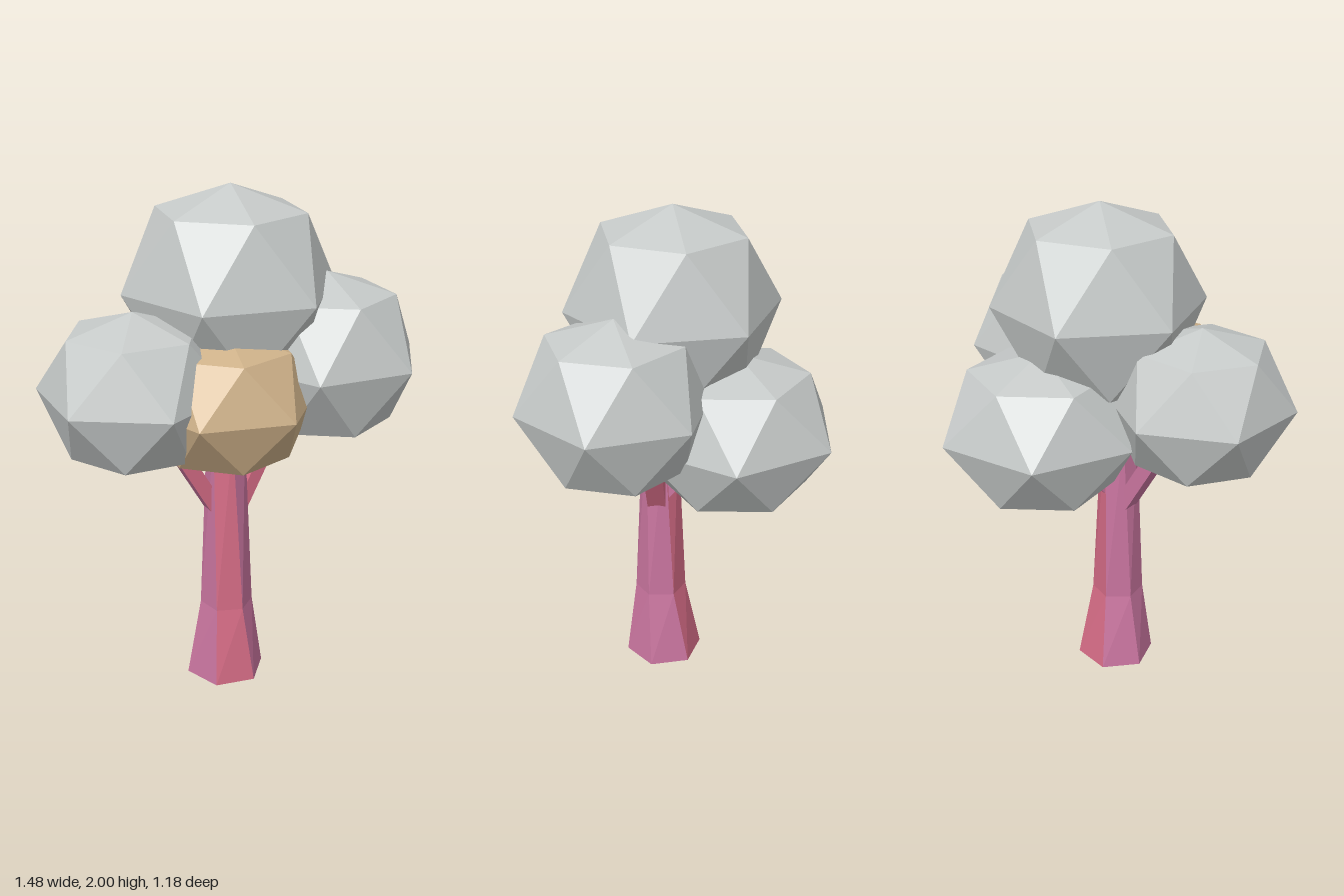
import * as THREE from 'three';

const SIDES = 6;

function material(name, color) {
  const m = new THREE.MeshStandardMaterial({ color, flatShading: true });
  m.name = name;
  return m;
}

// Six-sided loft from bottom to top; ring = [x, y, z, radius, turn in degrees].
// Each side becomes its own geometry group.
function loft(rings) {
  const point = ([x, y, z, r, turn], i) => {
    const a = THREE.MathUtils.degToRad(turn + (i * 360) / SIDES);
    return new THREE.Vector3(x + r * Math.cos(a), y, z + r * Math.sin(a));
  };
  const pts = [];
  const geo = new THREE.BufferGeometry();
  for (let i = 0; i < SIDES; i++) {
    const start = pts.length;
    for (let k = 0; k < rings.length - 1; k++) {
      const [lo, hi] = [rings[k], rings[k + 1]];
      if (lo[3] > 0) pts.push(point(lo, i), point(hi, i), point(lo, i + 1));
      if (hi[3] > 0) pts.push(point(lo, i + 1), point(hi, i), point(hi, i + 1));
    }
    geo.addGroup(start, pts.length - start, i % 3 === 1 ? 1 : 0);
  }
  geo.setFromPoints(pts);
  geo.computeVertexNormals();
  return geo;
}

// Faceted leaf ball: poles, a hexagonal equator and two rings turned half a step
function leafBall(name, [x, y, z], radius, height, turn, mat) {
  const r = radius * 0.69, h = height * 0.75;
  const geo = loft([
    [x, y - height, z, 0, turn - 60],
    [x, y - h, z, r, turn - 30],
    [x, y, z, radius, turn],
    [x, y + h, z, r, turn + 30],
    [x, y + height, z, 0, turn + 60],
  ]);
  geo.clearGroups();
  const mesh = new THREE.Mesh(geo, mat);
  mesh.name = name;
  return mesh;
}

// Square branch running between two points
function branch(name, from, to, width, depth, mats) {
  const a = new THREE.Vector3(...from), b = new THREE.Vector3(...to);
  const mesh = new THREE.Mesh(new THREE.BoxGeometry(depth, width, a.distanceTo(b)), mats);
  mesh.position.copy(a).lerp(b, 0.5);
  mesh.lookAt(b);
  mesh.name = name;
  return mesh;
}

export function createModel() {
  const red = material('rose bark', 0xd56c86);
  const mauve = material('mauve bark', 0xc9759f);
  const grey = material('grey leaves', 0xc6cac9);
  const tan = material('tan leaves', 0xceb189);

  const tree = new THREE.Group();
  tree.name = 'tree';

  // Flared, slightly twisted trunk with rose front and back sides
  const trunk = new THREE.Mesh(loft([
    [-0.03, 0, 0.14, 0, 0],
    [-0.03, 0, 0.14, 0.16, 0],
    [-0.028, 0.32, 0.15, 0.105, 9],
    [-0.03, 1.05, 0.145, 0.075, 26],
    [-0.03, 1.2, 0.145, 0.07, 28],
    [-0.03, 1.2, 0.145, 0, 28],
  ]), [mauve, red]);
  trunk.name = 'trunk';
  tree.add(trunk);

  // Branches
  tree.add(
    branch('leftBranch', [0.01, 0.73, 0.145], [0.24, 1.16, 0.09], 0.055, 0.075, red),
    branch('rightBranch', [-0.05, 0.70, 0.14], [-0.3, 1.13, 0.18], 0.06, 0.07,
      [red, mauve, red, mauve, red, mauve]),
    branch('backBranch', [-0.01, 0.77, 0.13], [0.02, 1.08, -0.12], 0.055, 0.07, mauve),
  );

  // Leaf balls
  tree.add(
    leafBall('topLeaves', [0.01, 1.61, 0.07], 0.42, 0.39, 1, grey),
    leafBall('leftLeaves', [0.36, 1.34, 0.17], 0.38, 0.33, -6, grey),
    leafBall('rightLeaves', [-0.405, 1.29, 0.22], 0.365, 0.3, 22, grey),
    leafBall('backLeaves', [0.04, 1.15, -0.19], 0.41, 0.31, 42, grey),
    leafBall('frontLeaves', [-0.07, 1.24, 0.28], 0.35, 0.27, 3, tan),
  );
  return tree;
}
